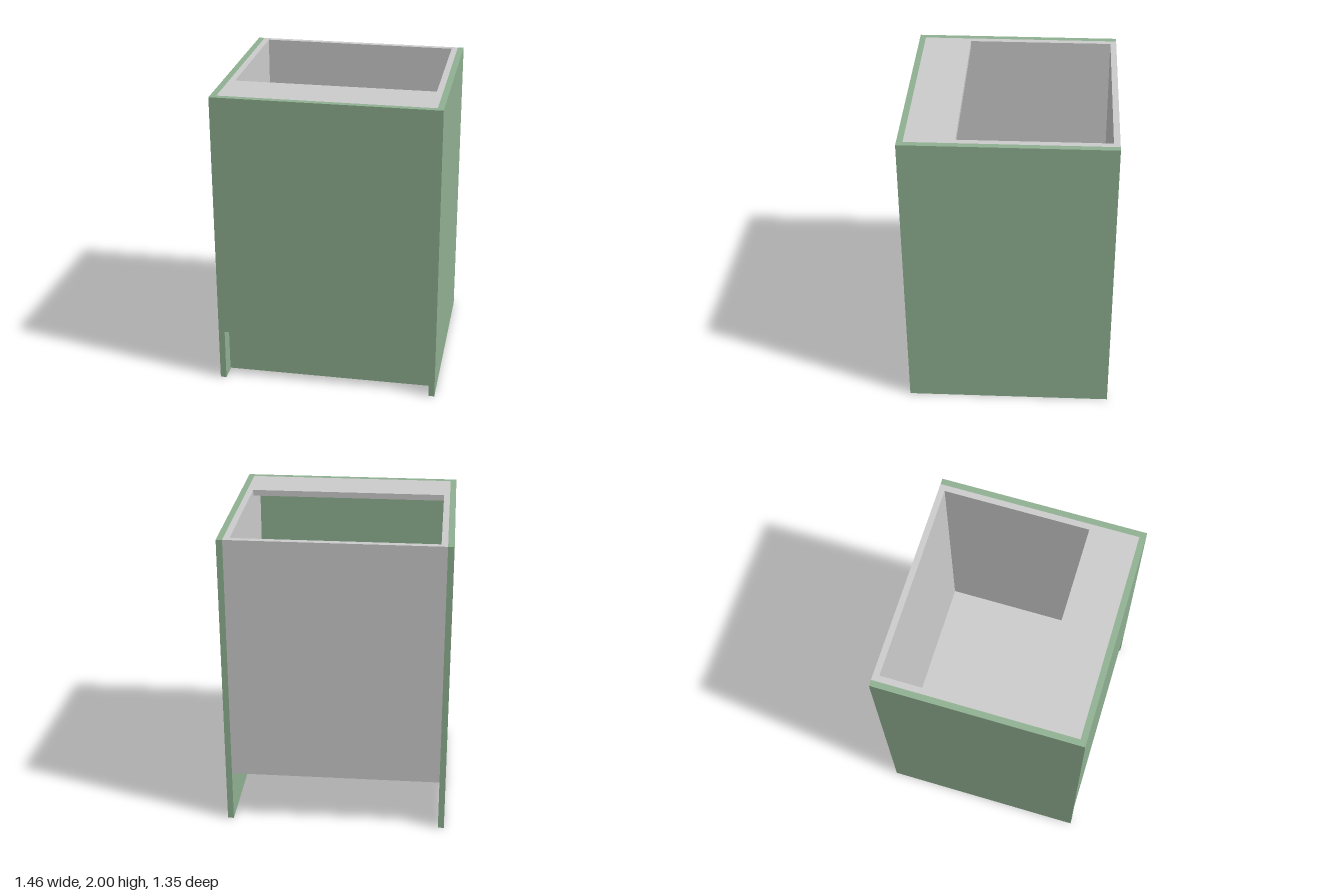
import * as THREE from 'three';

const T = 0.04; // board thickness

export function createModel() {
  const group = new THREE.Group();
  const green = new THREE.MeshStandardMaterial({ color: 0x8fb091 });
  const grey = new THREE.MeshStandardMaterial({ color: 0xcccccc });

  // A board given by its extents along each axis
  const board = (name, material, [x0, x1], [y0, y1], [z0, z1]) => {
    const mesh = new THREE.Mesh(new THREE.BoxGeometry(x1 - x0, y1 - y0, z1 - z0), material);
    mesh.position.set((x0 + x1) / 2, (y0 + y1) / 2, (z0 + z1) / 2);
    mesh.name = name;
    group.add(mesh);
  };

  const outer = 0.73, clad = outer - T, inner = clad - T;
  const back = -0.675, front = 0.675, carcassFront = front - T;
  const base = 0.35, top = 2;

  // Full-height cladding panels and the carcass sides within them
  for (const [side, s] of [['left', 1], ['right', -1]]) {
    const span = (a, b) => (s > 0 ? [a, b] : [-b, -a]);
    board(side + 'EndPanel', green, span(clad, outer), [0, top], [back, front]);
    board(side + 'CarcassSide', grey, span(inner, clad), [base, top], [back, carcassFront]);
  }

  // Carcass boards between the sides
  const width = [-inner, inner];
  board('bottomShelf', grey, width, [base, base + T], [back, carcassFront]);
  board('backPanel', grey, width, [base + T, top], [back, back + T]);
  board('topRail', grey, width, [top - T, top], [0.32, carcassFront]);

  // Door and recessed plinth
  board('door', green, [-clad, clad], [base, top], [carcassFront, front]);
  board('toeKick', green, [-clad, clad], [0.01, base], [0.525, 0.565]);

  return group;
}
